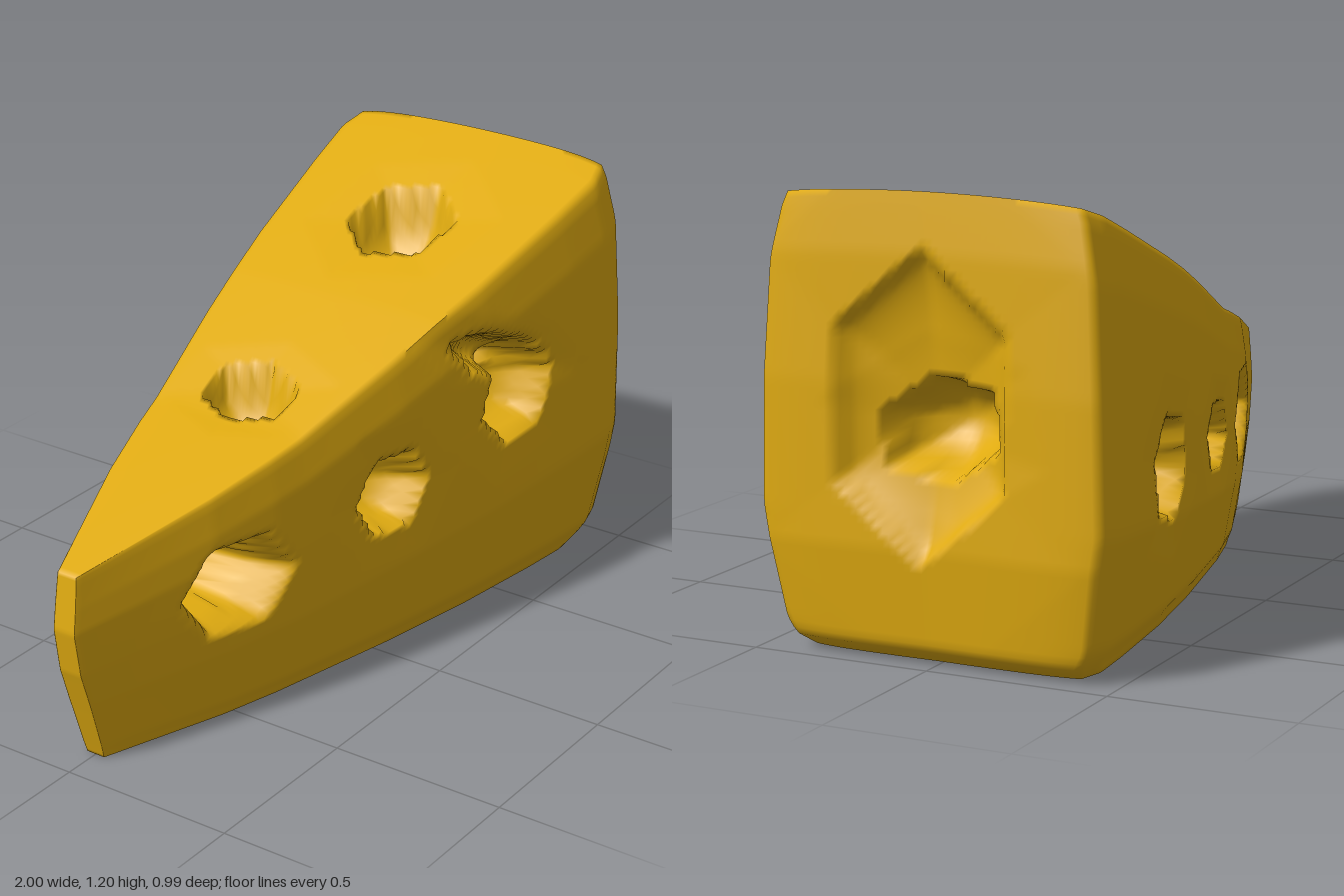
import * as THREE from 'three';
import { mergeVertices } from 'three/addons/utils/BufferGeometryUtils.js';

// Piecewise-linear curve through [input, output] points
function curve(points) {
  return (t) => {
    for (let i = 1; i < points.length; i++) {
      const [a, b] = [points[i - 1], points[i]];
      if (t <= b[0]) return THREE.MathUtils.lerp(a[1], b[1], Math.max(0, (t - a[0]) / (b[0] - a[0])));
    }
    return points[points.length - 1][1];
  };
}

// Wedge outline
const tipX = curve([[0, -0.89], [0.5, -0.98], [0.73, -1], [1, -0.98]]);
const rindX = curve([[0, 0.91], [0.035, 0.97], [0.25, 1], [0.6, 1], [0.87, 0.985], [1, 0.965]]);
const topY = curve([[-1, 0.565], [-0.3, 0.745], [0.2, 0.93], [0.97, 1.185]]);
const halfWidth = curve([[-1, 0.035], [-0.6, 0.19], [-0.4, 0.25], [0.05, 0.36], [0.4, 0.43], [0.75, 0.48], [0.92, 0.498], [1, 0.475]]);
const sideBulge = curve([[0, 0.8], [0.07, 0.9], [0.32, 1], [0.6, 0.985], [0.85, 0.95], [0.97, 0.89], [1, 0.86]]);

// Pits per face: centre (a, b), radii, depth, tilt. a and b are the two in-plane axes.
const PITS = {
  front: [[0, 0.5, 0.11, 0.11, 0.16, 0], [0.49, 0.64, 0.13, 0.12, 0.17, 0.2], [0.43, 0.775, 0.2, 0.055, 0.09, -0.4]],
  back: [[0.48, 0.46, 0.13, 0.13, 0.16, 0.3], [-0.08, 0.43, 0.13, 0.09, 0.14, 0.2]],
  top: [[-0.19, 0, 0.09, 0.13, 0.15, 0], [0.54, 0, 0.14, 0.14, 0.18, 0.2]],
  bottom: [[0.5, 0.04, 0.14, 0.14, 0.14, 0], [-0.06, 0.05, 0.13, 0.13, 0.13, 0.3]],
  rind: [[0.66, 0.02, 0.36, 0.25, 0.08, 0], [0.6, -0.01, 0.12, 0.17, 0.16, 0.2]],
  tip: [],
};

// Distance from a pit centre in units of its six-sided rim
function rimDistance(a, b, [ca, cb, ra, rb, , tilt = 0]) {
  const c = Math.cos(tilt), s = Math.sin(tilt), da = a - ca, db = b - cb;
  const p = (da * c + db * s) / ra, q = (db * c - da * s) / rb;
  const side = Math.PI / 3;
  const angle = ((Math.atan2(q, p) + Math.PI * 2) % side) - side / 2;
  return Math.hypot(p, q) * Math.cos(angle) / Math.cos(side / 3.2);
}

// Rounded bowl with a soft hollow around its rim
function pitDepth(a, b, pits) {
  let depth = 0;
  for (const pit of pits) {
    const d = rimDistance(a, b, pit);
    if (d < 1) depth += pit[4] * Math.sqrt(1 - d * d);
    if (d < 1.9) depth += 0.015 * (1 - d / 1.9);
  }
  return depth;
}

const TUNNEL = [-0.525, 0.405, 0.115, 0.095, 0, 0];

function wedgeGeometry() {
  const geo = new THREE.BoxGeometry(2, 1, 2, 110, 64, 52);
  const pos = geo.attributes.position, nor = geo.attributes.normal;
  const inTunnel = new Array(pos.count).fill(false);

  for (let i = 0; i < pos.count; i++) {
    const u = pos.getX(i), v = pos.getY(i) + 0.5, t = pos.getZ(i);
    const nx = nor.getX(i), ny = nor.getY(i), nz = nor.getZ(i);

    // Taper the block into a wedge with bulging sides
    let x = THREE.MathUtils.lerp(tipX(v), rindX(v) - 0.015 * t ** 6, (u + 1) / 2);
    let y = (topY(x) + 0.015 * (1 - t * t) * (u + 1) / 2) * v;
    let z = t * halfWidth(u) * sideBulge(v);

    // Press the pits in
    if (nx > 0.5) x -= pitDepth(y, z, PITS.rind);
    if (ny > 0.5) y -= pitDepth(x, z, PITS.top);
    if (ny < -0.5) y += pitDepth(x, z, PITS.bottom);
    if (nz > 0.5) z -= pitDepth(x, y, PITS.front);
    if (nz < -0.5) z += pitDepth(x, y, PITS.back);

    // Draw both sides together into a tunnel
    if (Math.abs(nz) > 0.5) {
      const d = rimDistance(x, y, TUNNEL);
      if (d < 1) {
        inTunnel[i] = true;
        const k = 1 / Math.max(d, 0.001);
        x = TUNNEL[0] + (x - TUNNEL[0]) * k;
        y = TUNNEL[1] + (y - TUNNEL[1]) * k;
        z = 0;
      } else {
        z *= 0.35 + 0.65 * THREE.MathUtils.smoothstep(d, 0.9, 1.45);
      }
    }
    pos.setXYZ(i, x, y, z);
  }

  // Open the tunnel
  const old = geo.index.array, kept = [];
  for (let i = 0; i < old.length; i += 3) {
    const tri = [old[i], old[i + 1], old[i + 2]];
    if (!tri.every((k) => inTunnel[k])) kept.push(...tri);
  }
  geo.setIndex(kept);
  geo.clearGroups();
  geo.deleteAttribute('uv');
  geo.deleteAttribute('normal');
  const merged = mergeVertices(geo, 1e-5);
  merged.computeVertexNormals();
  return merged;
}

export function createModel() {
  const group = new THREE.Group();
  group.name = 'cheeseWedge';
  const cheese = new THREE.MeshStandardMaterial({ color: 0xe0ab10 });
  cheese.name = 'cheeseYellow';
  const wedge = new THREE.Mesh(wedgeGeometry(), cheese);
  wedge.name = 'wedge';
  group.add(wedge);
  return group;
}
